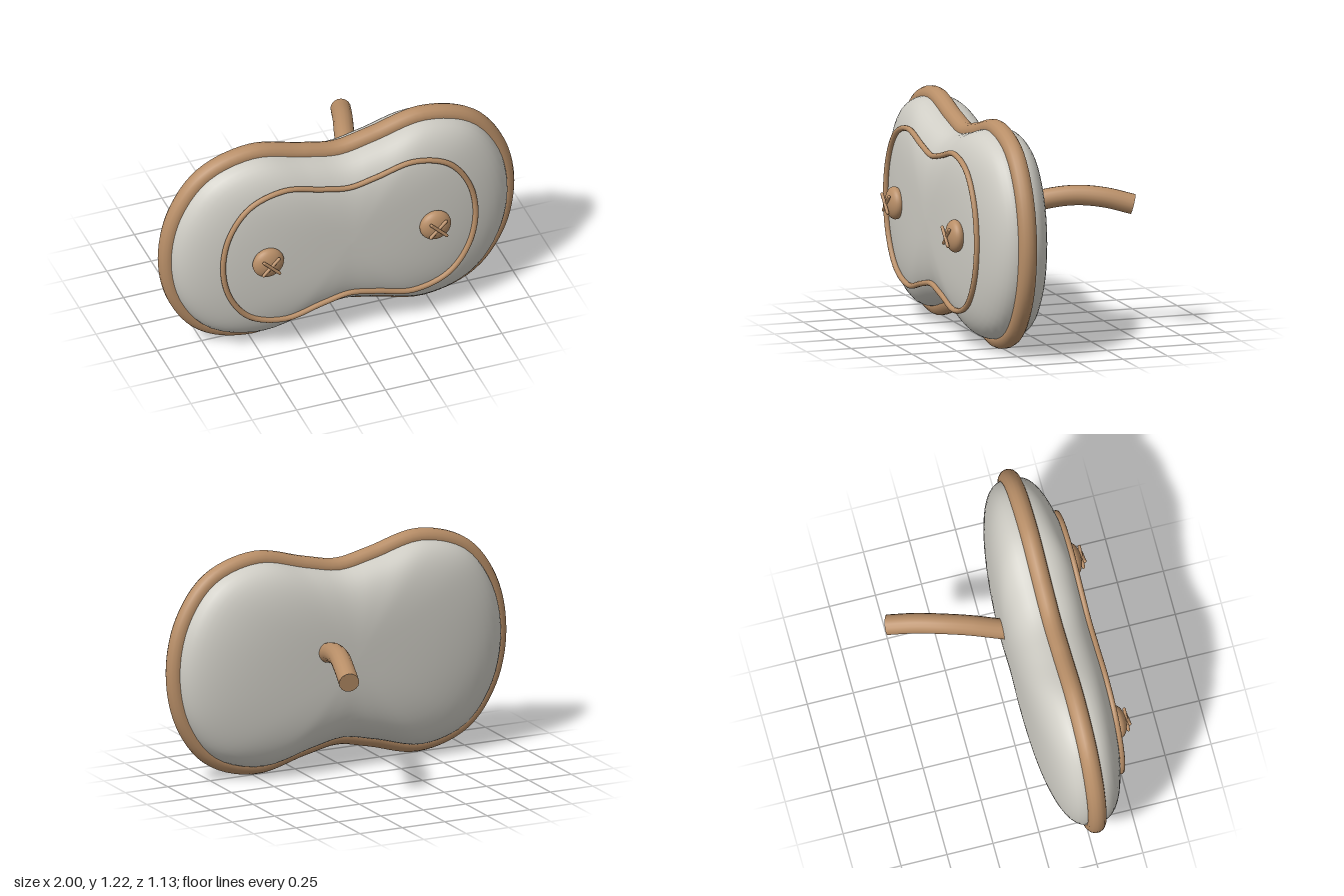
import * as THREE from 'three';

const CY = 0.612, SEAM_Z = 0.265, DEPTH = 0.231, POWER = 2.8;

// Peanut-shaped outline, mirrored from one quarter
function outlineCurve() {
  const q = [[0.95, 0], [0.895, 0.275], [0.74, 0.48], [0.48, 0.56], [0.2, 0.497], [0, 0.46]];
  const top = [...q, ...q.slice(1, -1).reverse().map(([x, y]) => [-x, y])];
  const all = [...top, [-0.95, 0], ...top.slice(1).reverse().map(([x, y]) => [x, -y])];
  return new THREE.CatmullRomCurve3(all.map(([x, y]) => new THREE.Vector3(x, y, 0)), true, 'centripetal');
}

// Pillow: the outline shrinks along a superellipse towards front and back
function pillowGeometry(outline) {
  const N = 96, R = 32, pts = outline.getSpacedPoints(N).slice(0, N);
  const pos = [], idx = [];
  for (let j = 0; j <= R; j++) {
    const a = -Math.PI / 2 + (Math.PI * j) / R;
    const s = Math.pow(Math.max(Math.cos(a), 1e-6), 2 / POWER);
    const z = Math.sign(a) * Math.pow(Math.abs(Math.sin(a)), 2 / POWER) * DEPTH;
    for (const p of pts) pos.push(p.x * s, p.y * s, z);
  }
  for (let j = 0; j < R; j++) {
    for (let i = 0; i < N; i++) {
      const a = j * N + i, b = j * N + ((i + 1) % N);
      idx.push(a, b, b + N, a, b + N, a + N);
    }
  }
  const g = new THREE.BufferGeometry();
  g.setAttribute('position', new THREE.Float32BufferAttribute(pos, 3));
  g.setIndex(idx);
  g.computeVertexNormals();
  return g;
}

export function createModel() {
  const group = new THREE.Group();
  const cloth = new THREE.MeshStandardMaterial({ name: 'greyCloth', color: 0xcfcdc5 });
  const tan = new THREE.MeshStandardMaterial({ name: 'tanTrim', color: 0xb98f68 });
  const add = (name, geo, mat, x = 0, y = 0, z = 0, parent = group) => {
    const m = new THREE.Mesh(geo, mat);
    m.name = name;
    m.position.set(x, y, z);
    parent.add(m);
    return m;
  };

  // Body
  const outline = outlineCurve();
  add('body', pillowGeometry(outline), cloth, 0, CY, SEAM_Z);

  // Piping around the seam and the thinner ring on the front
  add('rimPiping', new THREE.TubeGeometry(outline, 128, 0.05, 14, true), tan, 0, CY, SEAM_Z);
  const inner = new THREE.CatmullRomCurve3(
    outline.points.map((p) => p.clone().multiplyScalar(0.748)), true, 'centripetal');
  add('frontPiping', new THREE.TubeGeometry(inner, 128, 0.015, 10, true), tan, 0, CY, 0.464);

  // Buttons with crossed stitches
  for (const side of [-1, 1]) {
    const button = new THREE.Group();
    button.name = side > 0 ? 'leftButton' : 'rightButton';
    button.position.set(side * 0.47, 0.615, 0.5);
    add('buttonDome', new THREE.SphereGeometry(0.087, 32, 20), tan, 0, 0, 0, button).scale.z = 0.52;
    for (const turn of [-1, 1]) {
      const bar = new THREE.CapsuleGeometry(0.009, 0.122, 4, 10);
      add('stitch', bar, tan, 0, 0, turn > 0 ? 0.055 : 0.047, button).rotation.z = (turn * Math.PI) / 4;
    }
    group.add(button);
  }

  // Curved tail with a flat end
  const tailPath = new THREE.CatmullRomCurve3([
    [0.145, 0.665, 0.1], [0.165, 0.688, 0.02], [0.205, 0.726, -0.12],
    [0.245, 0.741, -0.26], [0.29, 0.728, -0.4], [0.333, 0.69, -0.545],
  ].map((p) => new THREE.Vector3(...p)));
  add('tail', new THREE.TubeGeometry(tailPath, 32, 0.054, 16, false), tan);
  const end = tailPath.getPoint(1);
  add('tailEnd', new THREE.CircleGeometry(0.054, 16), tan, end.x, end.y, end.z)
    .lookAt(end.clone().add(tailPath.getTangent(1)));

  return group;
}
